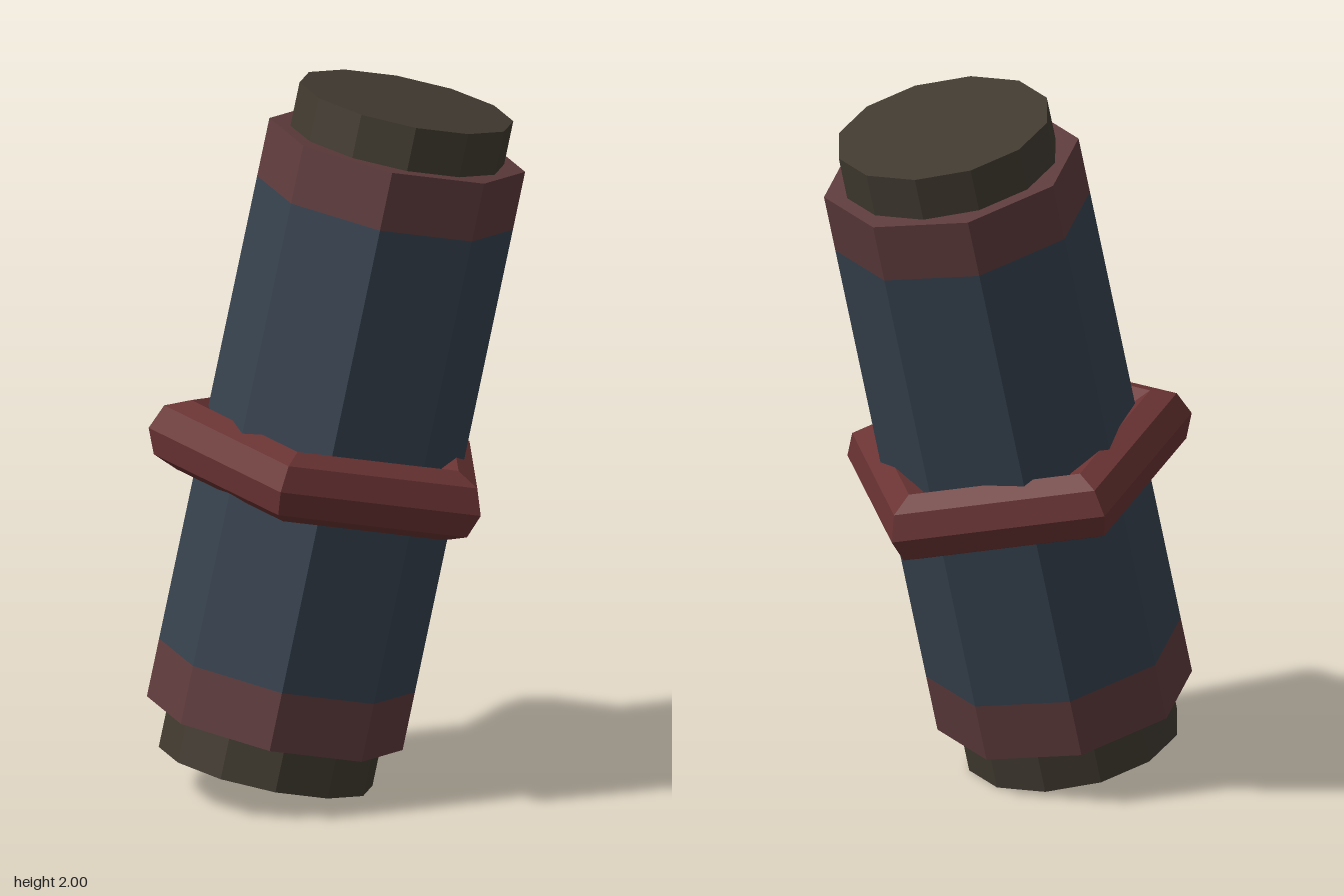
import * as THREE from 'three';

const flat = (name, color) => {
  const m = new THREE.MeshStandardMaterial({ color, flatShading: true });
  m.name = name;
  return m;
};

export function createModel() {
  const slate = flat('slate blue', 0x36414e);
  const maroon = flat('dull maroon', 0x5e3b3c);
  const red = flat('dark red', 0x6a3333);
  const olive = flat('dark olive', 0x413a30);

  const model = new THREE.Group();
  model.name = 'canister';

  // everything sits on one axis, leaning towards +x
  const axis = new THREE.Group();
  axis.name = 'leaningAxis';
  axis.position.set(0, 1, 0.048);
  axis.rotation.z = -THREE.MathUtils.degToRad(12.42);
  model.add(axis);

  const add = (name, geometry, material, y) => {
    const mesh = new THREE.Mesh(geometry, material);
    mesh.name = name;
    mesh.position.y = y;
    axis.add(mesh);
  };
  // prism with flats facing the x and z axes
  const prism = (apothem, height, sides, open = false) =>
    new THREE.CylinderGeometry(apothem / Math.cos(Math.PI / sides), apothem / Math.cos(Math.PI / sides),
      height, sides, 1, open, Math.PI / sides);

  const half = 0.835, band = 0.167, tip = 0.9595;

  // octagonal body
  add('body', prism(0.333, 2 * (half - band), 8, true), slate, 0);

  // end bands and twelve-sided end caps
  for (const [side, s] of [['top', 1], ['bottom', -1]]) {
    add(side + 'Band', prism(0.333, band, 8), maroon, s * (half - band / 2));
    add(side + 'Cap', prism(0.292, tip - half + 0.02, 12), olive, s * (tip + half - 0.02) / 2);
  }

  // five-sided ring with one corner at the back
  const ring = new THREE.TorusGeometry(0.411, 0.1, 8, 5);
  ring.rotateX(Math.PI / 2).rotateY(Math.PI / 2);
  add('ring', ring, red, -0.083);

  return model;
}
